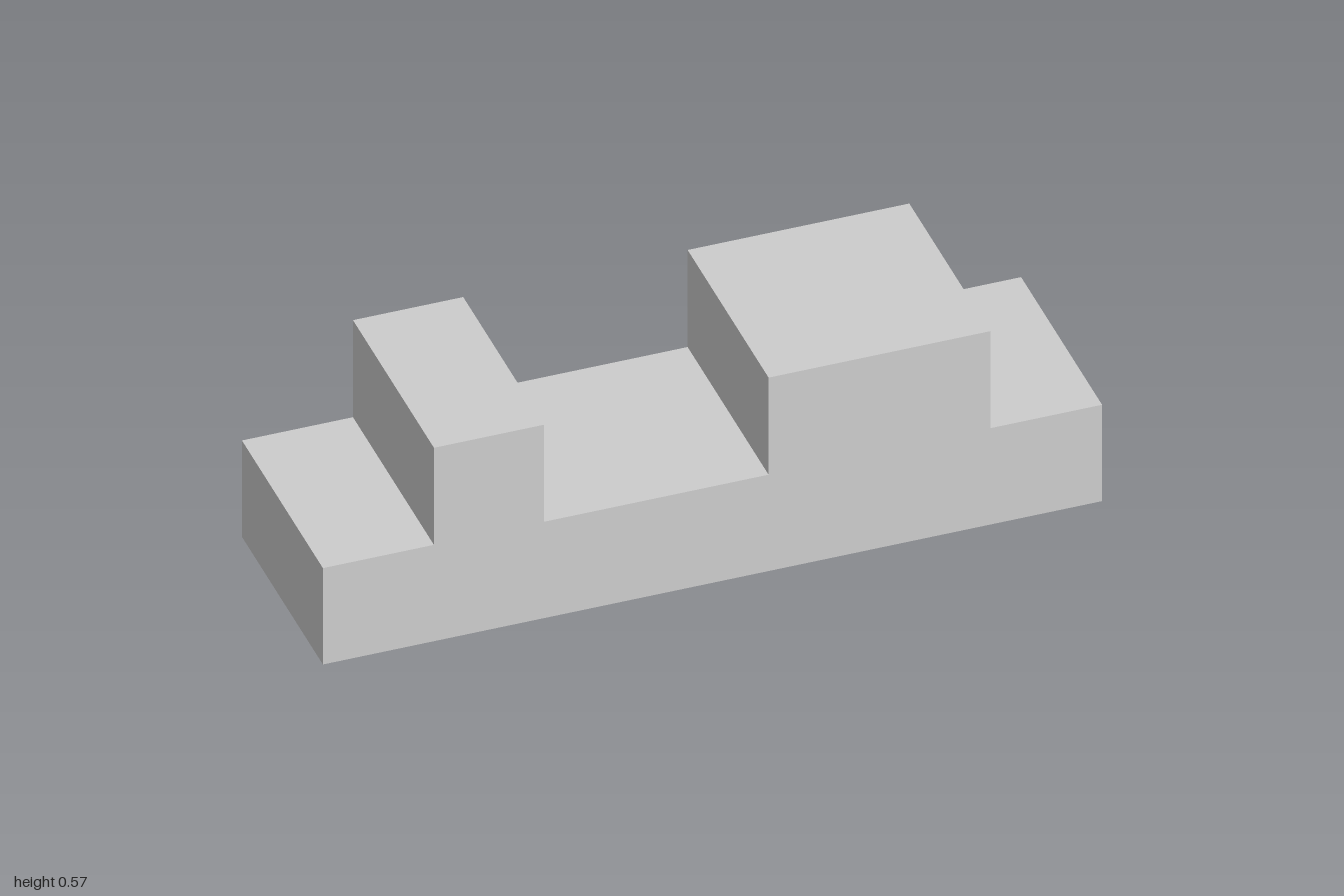
import * as THREE from 'three';

export function createModel() {
  const group = new THREE.Group();
  const grey = new THREE.MeshStandardMaterial({ color: 0xcccccc });
  grey.name = 'light grey';

  // Stepped side profile: long base with a narrow and a wide raised block
  const low = 0.284, high = 0.57, depth = 0.57;
  const profile = new THREE.Shape([
    [-1, 0], [1, 0], [1, low], [0.713, low], [0.713, high], [0.144, high],
    [0.144, low], [-0.432, low], [-0.432, high], [-0.715, high], [-0.715, low], [-1, low],
  ].map(([x, y]) => new THREE.Vector2(x, y)));

  const geometry = new THREE.ExtrudeGeometry(profile, { depth, bevelEnabled: false });
  geometry.translate(0, 0, -depth / 2);
  const body = new THREE.Mesh(geometry, grey);
  body.name = 'steppedBlock';
  group.add(body);
  return group;
}
